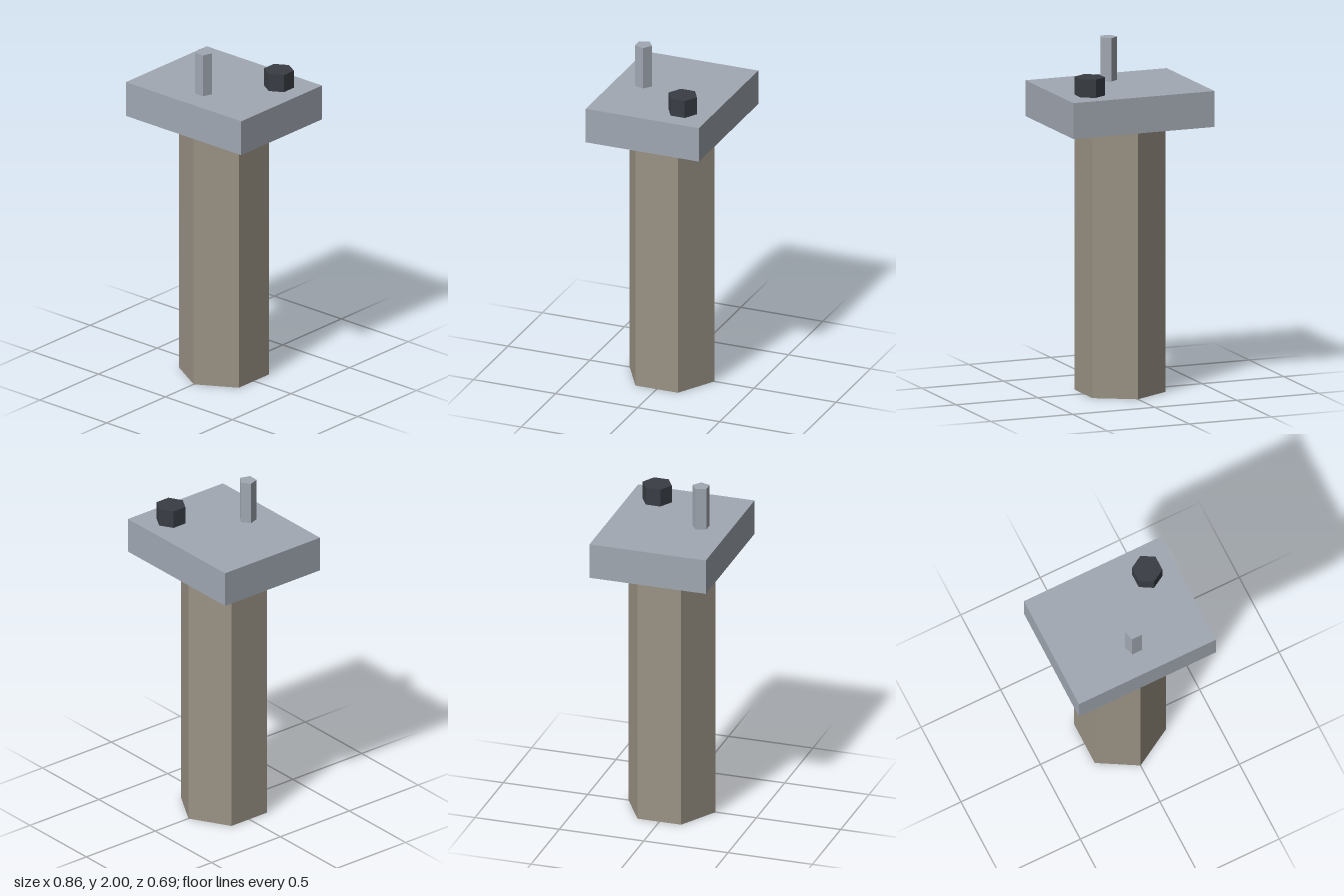
import * as THREE from 'three';

export function createModel() {
  const group = new THREE.Group();
  const material = (name, color) => {
    const m = new THREE.MeshStandardMaterial({ color, flatShading: true });
    m.name = name;
    return m;
  };
  const stone = material('warm stone', 0x9b9385);
  const steel = material('light steel', 0xa1a8b2);
  const iron = material('dark iron', 0x393d44);

  const add = (name, geometry, mat, x, y, z) => {
    const mesh = new THREE.Mesh(geometry, mat);
    mesh.name = name;
    mesh.position.set(x, y, z);
    group.add(mesh);
    return mesh;
  };
  // Upright prism standing between two heights
  const prism = (name, mat, sides, radius, bottom, top, x, z) =>
    add(name, new THREE.CylinderGeometry(radius, radius, top - bottom, sides), mat, x, (bottom + top) / 2, z);

  // Hexagonal column, with a corner facing the front
  prism('column', stone, 6, 0.258, 0, 1.545, 0, 0);

  // Rectangular slab on top of the column
  add('slab', new THREE.BoxGeometry(0.862, 0.206, 0.69), steel, 0, 1.648, 0);

  // Hexagonal knob at the back left corner
  prism('knob', iron, 6, 0.086, 1.751, 1.855, 0.258, -0.174);

  // Five-sided pin near the front, corner towards the back
  prism('pin', steel, 5, 0.051, 1.751, 2, 0, 0.172).rotation.y = Math.PI;

  return group;
}
